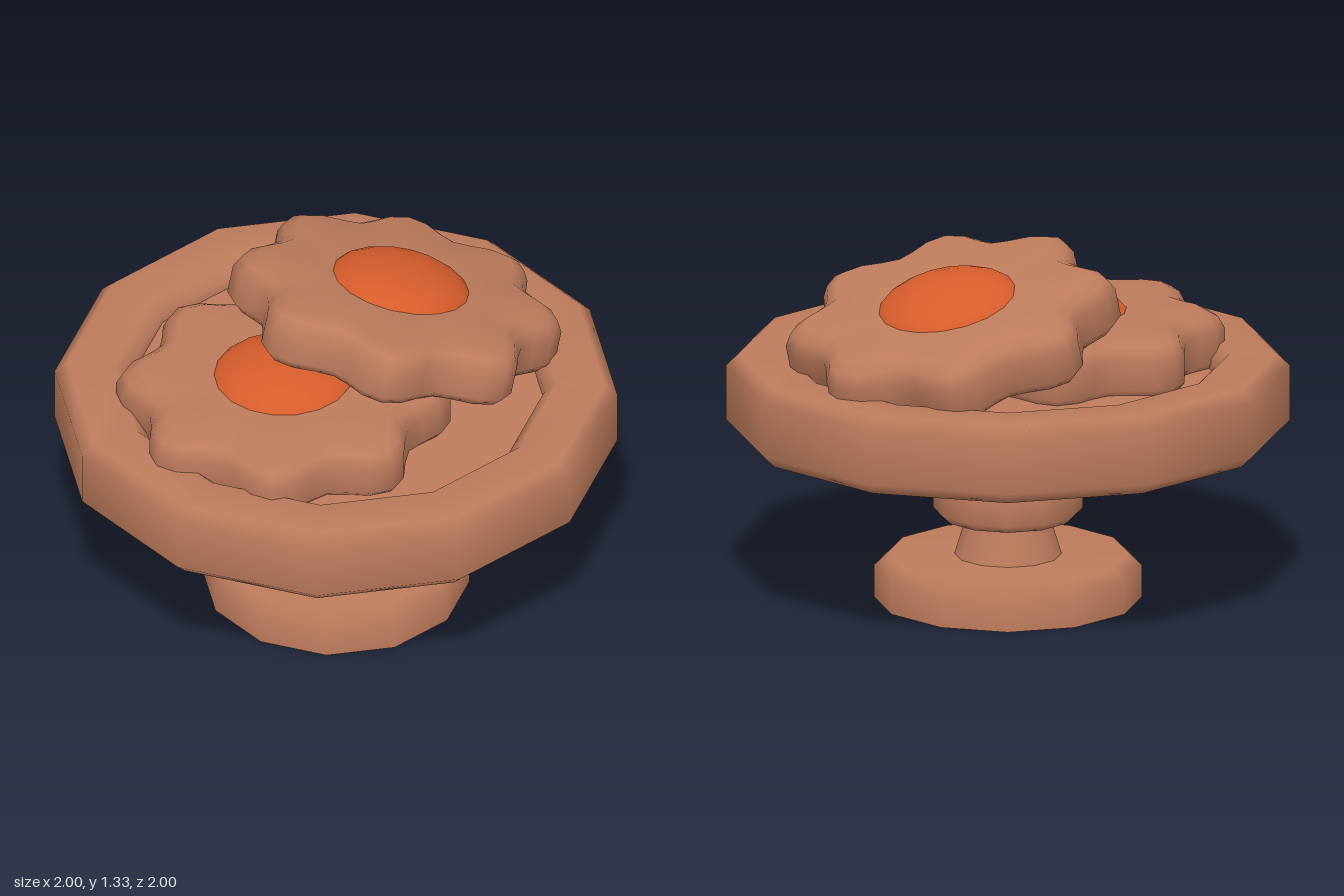
import * as THREE from 'three';

const SIDES = 12;
const STEP = Math.PI / SIDES;
const toCorner = 1 / Math.cos(STEP); // flat-to-flat radius -> corner radius

// Twelve-sided turned part; profile rows are [flat radius, y]
function turned(name, profile, material) {
  const points = profile.map(([r, y]) => new THREE.Vector2(r * toCorner, y));
  const mesh = new THREE.Mesh(new THREE.LatheGeometry(points, SIDES, STEP), material);
  mesh.name = name;
  return mesh;
}

// Flat twelve-sided disc facing up or down
function disc(name, radius, y, up, material) {
  const geometry = new THREE.CircleGeometry(radius * toCorner, SIDES, STEP);
  geometry.rotateX(up ? -Math.PI / 2 : Math.PI / 2);
  const mesh = new THREE.Mesh(geometry, material);
  mesh.name = name;
  mesh.position.y = y;
  return mesh;
}

// Eight-petalled biscuit: wavy rings stacked from the bottom to the top centre
function petalGeometry() {
  const rings = [ // mean radius, wave depth, height
    [0.53, 0.05, 0], [0.565, 0.05, 0.035], [0.565, 0.05, 0.145],
    [0.54, 0.05, 0.19], [0.49, 0.048, 0.217], [0.27, 0.01, 0.217],
  ];
  const N = 48;
  const positions = [];
  const index = [];
  for (const [r, wave, y] of rings) {
    for (let i = 0; i < N; i++) {
      const a = (i / N) * Math.PI * 2;
      const radius = r + wave * Math.cos(8 * a);
      positions.push(radius * Math.cos(a), y, radius * Math.sin(a));
    }
  }
  for (let k = 0; k < rings.length - 1; k++) {
    for (let i = 0; i < N; i++) {
      const j = (i + 1) % N;
      const a = k * N + i, b = k * N + j, c = a + N, d = b + N;
      index.push(a, c, b, b, c, d);
    }
  }
  // Close the underside and the top
  const bottom = rings.length * N, top = bottom + 1, last = (rings.length - 1) * N;
  positions.push(0, 0, 0, 0, 0.217, 0);
  for (let i = 0; i < N; i++) {
    const j = (i + 1) % N;
    index.push(bottom, i, j, top, last + j, last + i);
  }
  const geometry = new THREE.BufferGeometry();
  geometry.setAttribute('position', new THREE.Float32BufferAttribute(positions, 3));
  geometry.setIndex(index);
  geometry.computeVertexNormals();
  return geometry;
}

export function createModel() {
  const brown = new THREE.MeshStandardMaterial({ color: 0xbd7b5c });
  brown.name = 'warm brown';
  const orange = new THREE.MeshStandardMaterial({ color: 0xd65c2c });
  orange.name = 'jam orange';

  const model = new THREE.Group();
  model.name = 'biscuitStand';

  // Pedestal, from the foot up to the dish
  model.add(
    disc('footUnderside', 0.475, 0, false, brown),
    turned('foot', [[0.475, 0], [0.475, 0.12], [0.43, 0.165], [0, 0.165]], brown),
    turned('lowerNeck', [[0.19, 0.165], [0.145, 0.32]], brown),
    turned('collar', [[0, 0.31], [0.235, 0.31], [0.265, 0.34], [0.265, 0.45], [0.235, 0.48], [0, 0.48]], brown),
    turned('upperNeck', [[0.145, 0.475], [0.19, 0.635]], brown),
  );

  // Dish with a raised, bevelled rim
  model.add(
    turned('dish', [
      [0, 0.63], [0.955, 0.63], [1, 0.675], [1, 0.88],
      [0.955, 0.925], [0.785, 0.925], [0.74, 0.88], [0.74, 0.835],
    ], brown),
    disc('dishFloor', 0.74, 0.84, true, brown),
  );

  // Two filled biscuits, one leaning on the other
  const petals = petalGeometry();
  const dome = new THREE.SphereGeometry(0.278, 18, 12);
  dome.scale(1, 0.43, 1);
  const addBiscuit = (name, x, y, tilt) => {
    const biscuit = new THREE.Group();
    biscuit.name = name;
    const body = new THREE.Mesh(petals, brown);
    body.name = 'petals';
    const filling = new THREE.Mesh(dome, orange);
    filling.name = 'filling';
    filling.position.y = 0.172;
    biscuit.add(body, filling);
    biscuit.position.set(x, y, 0);
    biscuit.rotation.z = tilt;
    model.add(biscuit);
  };
  addBiscuit('flatBiscuit', -0.255, 0.828, 0);
  addBiscuit('leaningBiscuit', 0.26, 0.981, -Math.PI / 12);

  return model;
}
